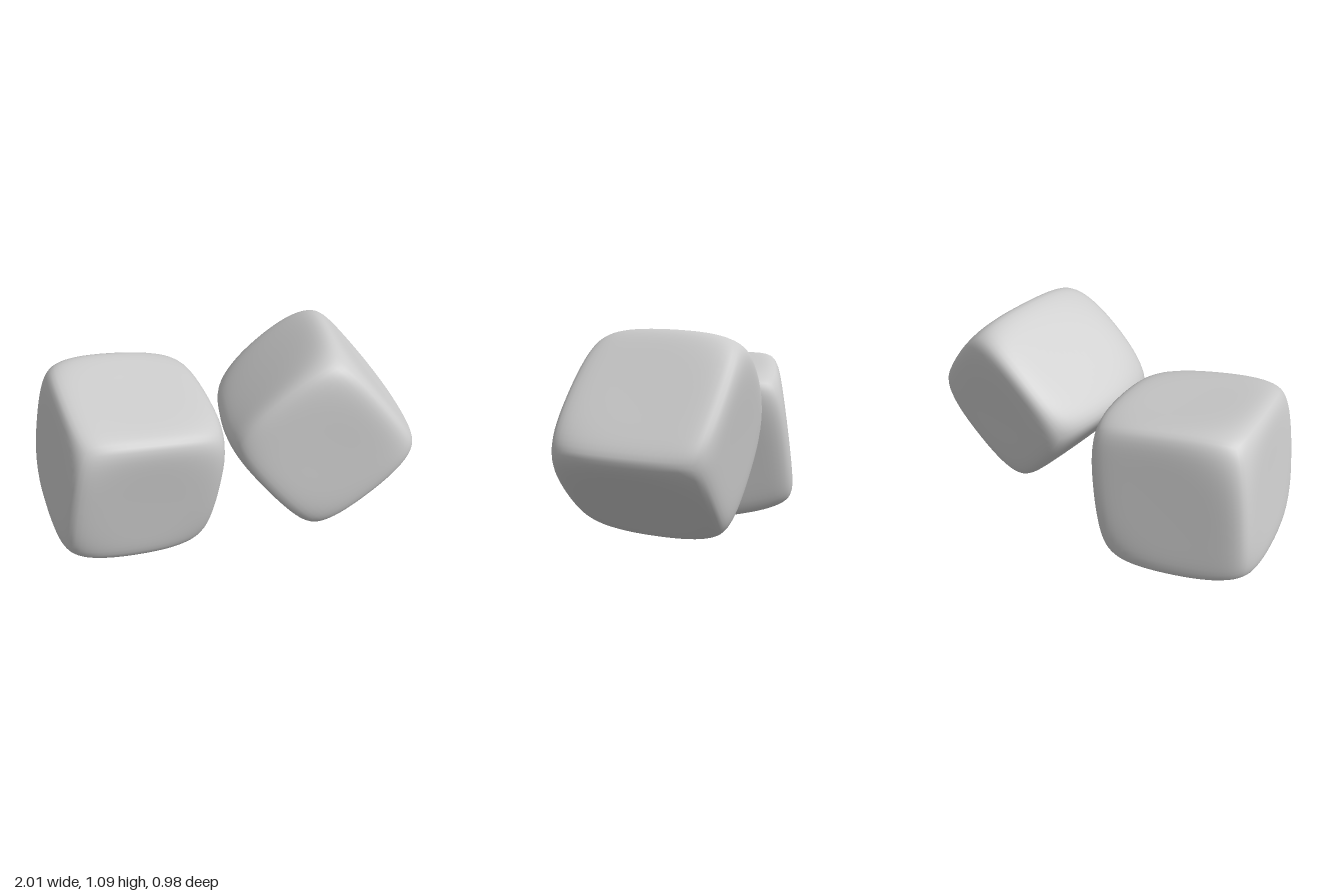
import * as THREE from 'three';
import { mergeVertices } from 'three/addons/utils/BufferGeometryUtils.js';

const material = new THREE.MeshStandardMaterial({ color: 0xcccccc });

// Soft cube: a box blended with a ball, so that edges stay full along their middle
// while the corners round off. Faces are slightly dished, the top can bulge,
// and "lean" slides the upper part back.
function softCube(name, half, bulge, lean) {
  const box = new THREE.BoxGeometry(2, 2, 2, 24, 24, 24);
  box.deleteAttribute('uv');
  box.deleteAttribute('normal');
  const geometry = mergeVertices(box);
  const pos = geometry.attributes.position;
  const p = new THREE.Vector3();
  for (let i = 0; i < pos.count; i++) {
    p.fromBufferAttribute(pos, i);
    const cube = (p.x ** 12 + p.y ** 12 + p.z ** 12) ** (1 / 12);
    const r = (cube ** 12 + (p.length() / 1.48) ** 12) ** (1 / 12);
    const [u, v, w] = p.toArray().map((c) => Math.max(0, 1 - c * c));
    const dish = 0.02 * (u * v + v * w + w * u);
    p.multiplyScalar((1 - dish) / r);
    if (p.y > 0) p.y += bulge * p.y * u;
    p.multiply(half);
    p.z -= lean * (0.65 * p.x + 0.76 * p.y);
    pos.setXYZ(i, p.x, p.y, p.z);
  }
  geometry.computeVertexNormals();
  const mesh = new THREE.Mesh(geometry, material);
  mesh.name = name;
  return mesh;
}

export function createModel() {
  const group = new THREE.Group();
  group.name = 'cubePair';

  // Lower cube, turned and leaning slightly
  const lower = softCube('lowerCube', new THREE.Vector3(0.41, 0.405, 0.42), 0, 0);
  const x = new THREE.Vector3(0.95, -0.16, -0.26).normalize();
  const z = new THREE.Vector3().crossVectors(x, new THREE.Vector3(0.177, 0.977, 0.09)).normalize();
  const y = new THREE.Vector3().crossVectors(z, x);
  lower.quaternion.setFromRotationMatrix(new THREE.Matrix4().makeBasis(x, y, z));
  lower.position.set(-0.51, 0.46, 0);
  group.add(lower);

  // Raised cube, balanced on an edge
  const raised = softCube('raisedCube', new THREE.Vector3(0.385, 0.385, 0.39), 0.06, 0.07);
  raised.rotation.set(-0.04, -0.03, 0.7, 'YXZ');
  raised.position.set(0.5, 0.585, -0.035);
  group.add(raised);

  return group;
}
